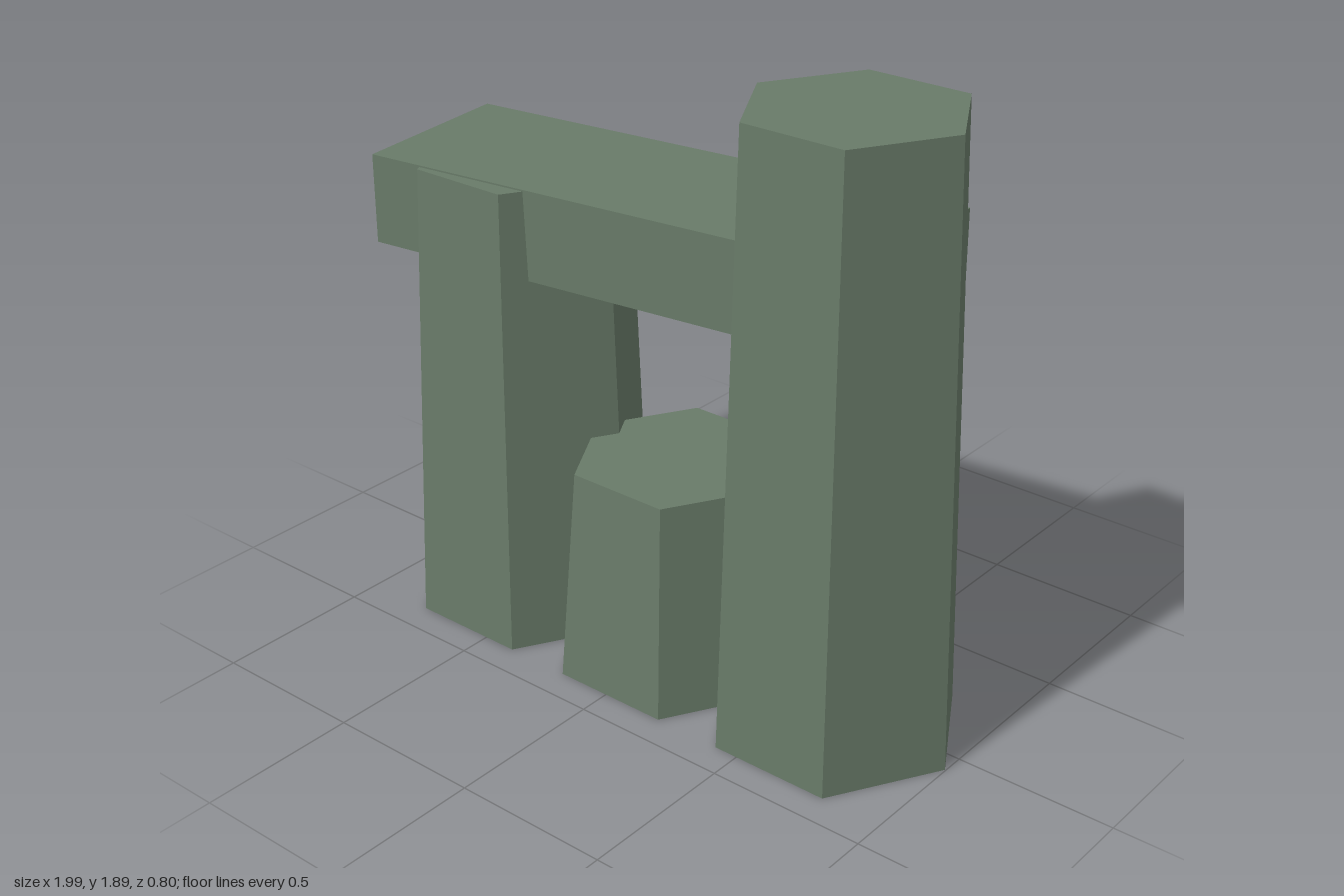
import * as THREE from 'three';

export function createModel() {
  const group = new THREE.Group();
  group.name = 'basaltArch';
  const stone = new THREE.MeshStandardMaterial({ color: 0x687a68, flatShading: true });
  stone.name = 'mossy stone';

  // Tapered hexagonal columns, corners pointing along x
  const columns = [
    ['leftColumn', 0.615, 1.895],
    ['middleColumn', 0.015, 0.68],
    ['rightColumn', -0.58, 1.49],
  ];
  for (const [name, x, height] of columns) {
    const geometry = new THREE.CylinderGeometry(0.328, 0.382, height, 6, 1, false, Math.PI / 6);
    const column = new THREE.Mesh(geometry, stone);
    column.name = name;
    column.position.set(x, height / 2, 0.069);
    group.add(column);
  }

  // Slab resting across the columns, turned slightly
  const lintel = new THREE.Mesh(new THREE.BoxGeometry(1.69, 0.28, 0.56), stone);
  lintel.name = 'lintel';
  lintel.position.set(-0.125, 1.355, -0.022);
  lintel.rotation.y = 0.12;
  group.add(lintel);

  return group;
}
